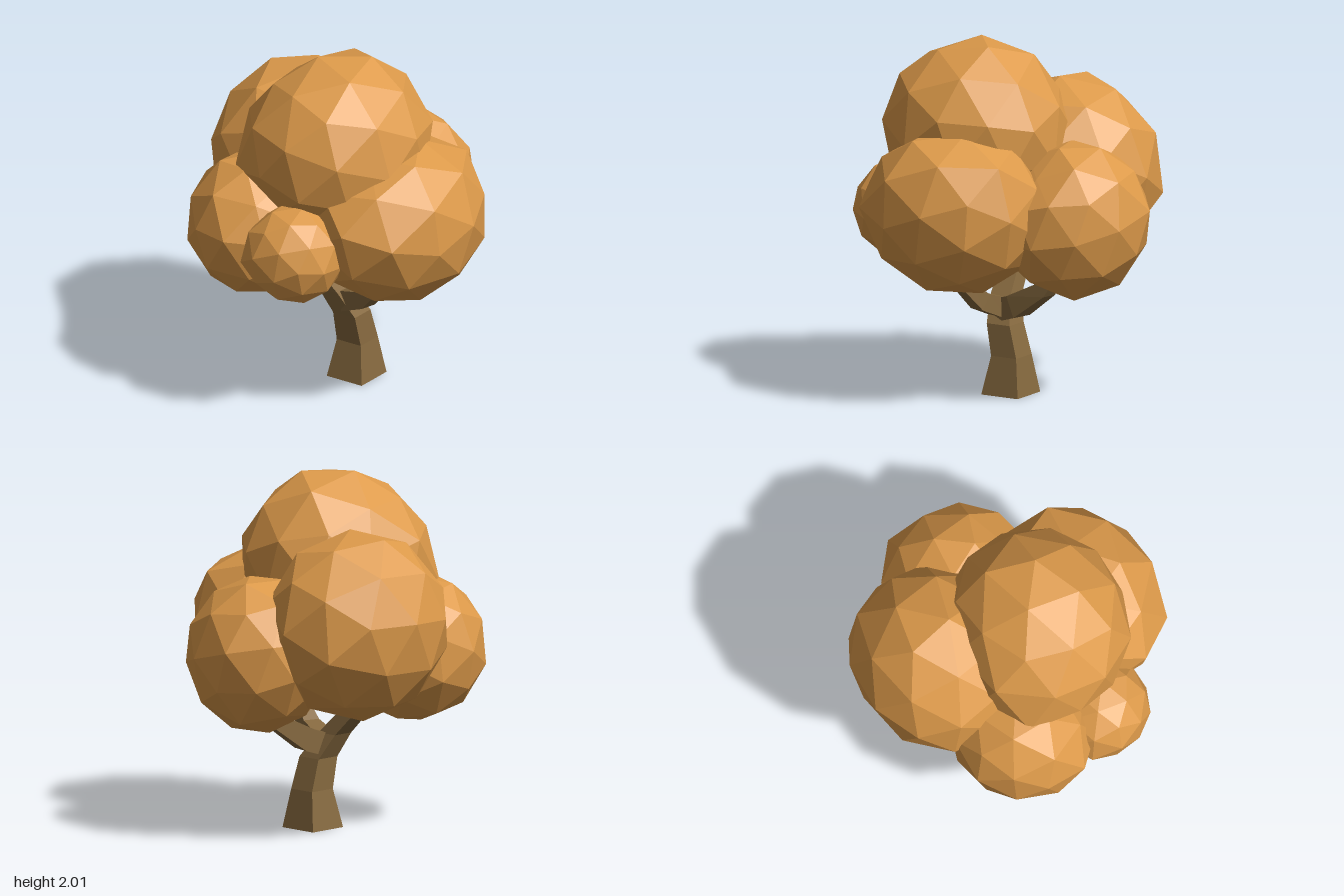
import * as THREE from 'three';

const leafMat = new THREE.MeshStandardMaterial({ color: 0xdd9a4a, flatShading: true });
const barkMat = new THREE.MeshStandardMaterial({ color: 0x86693f, flatShading: true });

// Faceted ball with a centre and radii, its surface pulled through a few bulge points
function leafClump(name, c, r, turn, bulges) {
  const centre = new THREE.Vector3(...c), radii = new THREE.Vector3(...r);
  const pulls = bulges.map(b => {
    const dir = new THREE.Vector3(...b).sub(centre).divide(radii);
    return { reach: dir.length(), dir: dir.normalize() };
  });
  const geo = new THREE.IcosahedronGeometry(1, 1);
  geo.applyMatrix4(new THREE.Matrix4().makeRotationFromEuler(new THREE.Euler(...turn)));
  const pos = geo.attributes.position, v = new THREE.Vector3();
  for (let i = 0; i < pos.count; i++) {
    v.fromBufferAttribute(pos, i).normalize();
    let push = 0, total = 0;
    for (const { reach, dir } of pulls) {
      const w = Math.exp(-((v.angleTo(dir) / 0.45) ** 2));
      push += w * (reach - 1);
      total += w;
    }
    v.multiplyScalar(1.02 + push / Math.max(1, total)).multiply(radii).add(centre);
    pos.setXYZ(i, v.x, v.y, v.z);
  }
  geo.computeVertexNormals();
  const mesh = new THREE.Mesh(geo, leafMat);
  mesh.name = name;
  return mesh;
}

// Square-sectioned limb through stations [x, y, z, width];
// "side" is the horizontal direction shared by all sections
function limb(name, stations, side, level = false) {
  const pts = stations.map(s => new THREE.Vector3(s[0], s[1], s[2]));
  const u = new THREE.Vector3(...side).normalize();
  const pos = [], index = [];
  pts.forEach((p, i) => {
    const t = level ? new THREE.Vector3(0, 1, 0)
      : pts[Math.min(i + 1, pts.length - 1)].clone().sub(pts[Math.max(i - 1, 0)]).normalize();
    const v = new THREE.Vector3().crossVectors(t, u).normalize();
    const h = stations[i][3] / 2;
    for (const [a, b] of [[-1, -1], [1, -1], [1, 1], [-1, 1]]) {
      pos.push(...p.clone().addScaledVector(u, a * h).addScaledVector(v, b * h).toArray());
    }
  });
  for (let i = 0; i < pts.length - 1; i++) {
    for (let k = 0; k < 4; k++) {
      const a = i * 4 + k, b = i * 4 + (k + 1) % 4;
      index.push(a, b, b + 4, a, b + 4, a + 4);
    }
  }
  const e = (pts.length - 1) * 4;
  index.push(0, 2, 1, 0, 3, 2, e, e + 1, e + 2, e, e + 2, e + 3);
  const geo = new THREE.BufferGeometry();
  geo.setAttribute('position', new THREE.Float32BufferAttribute(pos, 3));
  geo.setIndex(index);
  geo.computeVertexNormals();
  const mesh = new THREE.Mesh(geo, barkMat);
  mesh.name = name;
  return mesh;
}

export function createModel() {
  const tree = new THREE.Group();
  tree.name = 'tree';

  // Trunk, slightly turned, bending into the back of the crown
  tree.add(limb('trunk', [
    [0.065, 0, 0.035, 0.24], [0.07, 0.22, 0.035, 0.165], [0.025, 0.4, 0.04, 0.15],
    [-0.04, 0.54, -0.03, 0.13], [-0.1, 0.68, -0.15, 0.12], [-0.15, 0.9, -0.28, 0.1],
  ], [0.97, 0, -0.25], true));

  // Two branches reaching into the crown
  tree.add(limb('leftBranch', [
    [-0.01, 0.47, 0.03, 0.13], [0.12, 0.51, 0.03, 0.13],
    [0.32, 0.63, 0.01, 0.09], [0.42, 0.78, -0.02, 0.08],
  ], [0, 0, -1]));
  tree.add(limb('frontBranch', [
    [0.0, 0.48, 0.03, 0.12], [-0.01, 0.54, 0.2, 0.1],
    [-0.02, 0.65, 0.32, 0.08], [-0.02, 0.82, 0.4, 0.07],
  ], [1, 0, 0]));

  // Crown of six overlapping clumps
  const crown = new THREE.Group();
  crown.name = 'crown';
  crown.add(leafClump('topClump', [-0.13, 1.5, 0.13], [0.54, 0.5, 0.49], [0.3, 0.5, 0.2],
    [[-0.54, 1.42, -0.33], [0.06, 2.0, 0], [0.25, 1.42, -0.29]]));
  crown.add(leafClump('frontClump', [0.03, 1.09, 0.42], [0.52, 0.46, 0.48], [0.5, 0.2, 0.7],
    [[-0.48, 1.34, 0.42], [0.43, 1.47, 0.42], [0.03, 1.45, 0.81], [-0.43, 1.09, 0.74]]));
  crown.add(leafClump('backClump', [0.05, 1.22, -0.42], [0.53, 0.53, 0.48], [0.9, 1.1, 0.3],
    [[0.46, 1.22, -0.79], [0.05, 1.69, -0.69]]));
  crown.add(leafClump('leftClump', [0.47, 1.05, -0.06], [0.4, 0.44, 0.44], [0.2, 1.5, 0.6],
    [[0.47, 1.31, 0.2], [0.81, 1.05, -0.35], [0.68, 0.64, -0.06]]));
  crown.add(leafClump('rightClump', [-0.46, 1.01, -0.19], [0.41, 0.41, 0.4], [1.2, 0.4, 0.1],
    [[-0.86, 0.95, 0.02], [-0.73, 1.36, -0.19]]));
  crown.add(leafClump('smallClump', [-0.57, 1.0, 0.26], [0.28, 0.28, 0.28], [0.7, 0.8, 0.5],
    [[-0.84, 1.0, 0.1]]));
  tree.add(crown);
  return tree;
}
